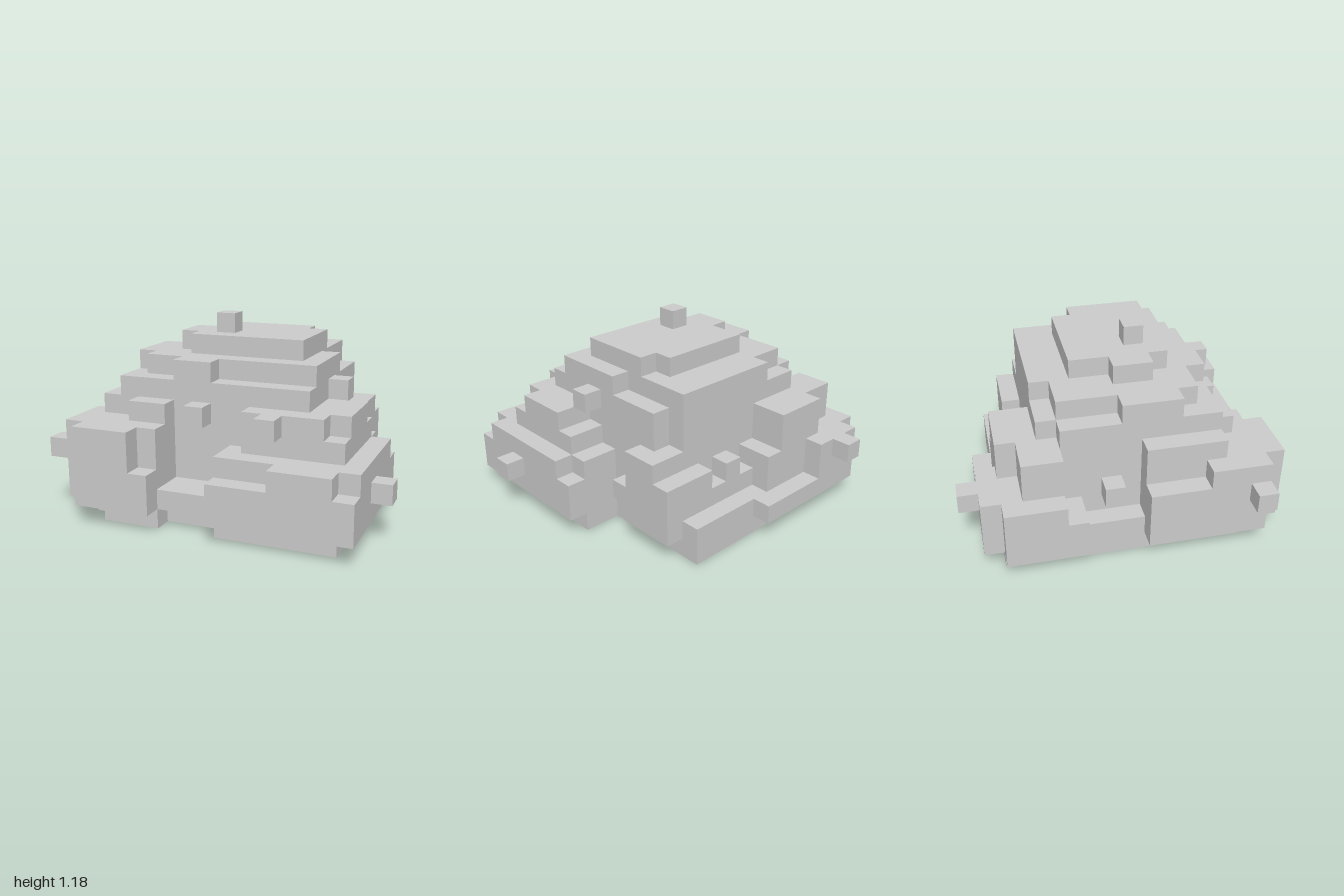
import * as THREE from 'three';

// One block is 1/17 of the model's 2-unit width
const U = 2 / 17;

// Each part: boxes [x0, x1, y0, y1, z0, z1] in block counts (end exclusive)
const PARTS = {
  base: [[2, 13, 0, 1, 2, 13], [12, 15, 0, 1, 8, 15], [3, 6, 0, 1, 12, 15], [2, 3, 0, 1, 9, 14],
    [6, 9, 0, 1, 12, 14], [9, 13, 0, 1, 12, 15]],
  // central mound, stepped towards the top
  lowerBody: [[2, 13, 1, 2, 2, 15], [3, 13, 2, 4, 4, 13]],
  middleBody: [[3, 13, 4, 5, 4, 13], [3, 12, 5, 6, 4, 13], [12, 13, 5, 6, 5, 13]],
  upperBody: [[3, 12, 6, 7, 5, 13], [12, 13, 6, 7, 5, 13], [4, 12, 6, 7, 4, 5]],
  shoulderTier: [[4, 12, 7, 8, 5, 12], [6, 12, 7, 8, 4, 5], [12, 13, 7, 8, 8, 12],
    [3, 4, 7, 8, 8, 11], [6, 8, 7, 8, 12, 13]],
  crown: [[6, 12, 8, 9, 7, 11], [6, 11, 8, 9, 6, 7], [5, 6, 8, 9, 8, 10]],
  // front blocks
  frontRightBlock: [[2, 6, 1, 3, 9, 16], [2, 6, 3, 5, 9, 15], [2, 5, 3, 5, 15, 16],
    [2, 4, 5, 6, 9, 13], [4, 6, 5, 6, 12, 14], [1, 2, 1, 4, 9, 15], [1, 2, 4, 5, 12, 15]],
  frontLeftBlock: [[9, 16, 1, 3, 8, 16], [9, 15, 3, 4, 8, 15], [15, 16, 3, 4, 9, 15],
    [12, 15, 3, 4, 15, 16]],
  frontLeftTier: [[10, 15, 4, 5, 9, 14], [10, 14, 5, 6, 10, 14], [14, 15, 5, 6, 10, 13]],
  // back blocks
  backRightBlock: [[1, 7, 1, 4, 2, 5], [1, 3, 1, 3, 5, 6], [4, 7, 4, 6, 2, 5], [2, 4, 4, 6, 3, 5],
    [7, 8, 1, 4, 2, 4], [2, 5, 1, 4, 1, 2], [5, 9, 1, 2, 1, 2]],
  backLeftBlock: [[7, 13, 1, 3, 3, 4], [11, 14, 1, 4, 3, 4], [13, 14, 1, 5, 4, 6]],
  // single blocks standing out of the surface
  studs: [[7, 8], [0, 1], [16, 17], [3, 4], [7, 8], [11, 12], [13, 14], [13, 14], [2, 3], [9, 10]]
    .map(([a, b], n) => {
      const y = [9, 3, 2, 3, 5, 5, 6, 2, 3, 3][n], z = [9, 14, 12, 0, 13, 14, 9, 6, 7, 3][n];
      return [a, b, y, y + 1, z, z + 1];
    }),
};

// Fill the grid; the first part to claim a cell keeps it
function fillGrid() {
  const cells = new Map();
  for (const [name, boxes] of Object.entries(PARTS)) {
    for (const [x0, x1, y0, y1, z0, z1] of boxes)
      for (let x = x0; x < x1; x++)
        for (let y = y0; y < y1; y++)
          for (let z = z0; z < z1; z++) {
            const key = `${x},${y},${z}`;
            if (!cells.has(key)) cells.set(key, { name, p: [x, y, z] });
          }
  }
  return cells;
}

// Only faces open to the air are built
function exposedFaces(cells, name) {
  const pos = [], idx = [];
  for (const cell of cells.values()) {
    if (cell.name !== name) continue;
    for (let axis = 0; axis < 3; axis++)
      for (const side of [0, 1]) {
        const next = [...cell.p];
        next[axis] += side ? 1 : -1;
        if (cells.has(next.join())) continue;
        const u = (axis + 1) % 3, v = (axis + 2) % 3, start = pos.length / 3;
        for (const [du, dv] of [[0, 0], [1, 0], [1, 1], [0, 1]]) {
          const c = [...cell.p];
          c[axis] += side;
          c[u] += du;
          c[v] += dv;
          pos.push((c[0] - 8.5) * U, c[1] * U, (c[2] - 8) * U);
        }
        const order = side ? [0, 1, 2, 0, 2, 3] : [0, 2, 1, 0, 3, 2];
        idx.push(...order.map((o) => start + o));
      }
  }
  const geo = new THREE.BufferGeometry();
  geo.setAttribute('position', new THREE.Float32BufferAttribute(pos, 3));
  geo.setIndex(idx);
  geo.computeVertexNormals();
  return geo;
}

export function createModel() {
  const model = new THREE.Group();
  model.name = 'blockyBoulder';
  const material = new THREE.MeshStandardMaterial({ color: 0xcccccc, flatShading: true });
  const cells = fillGrid();
  for (const name of Object.keys(PARTS)) {
    const mesh = new THREE.Mesh(exposedFaces(cells, name), material);
    mesh.name = name;
    model.add(mesh);
  }
  return model;
}
